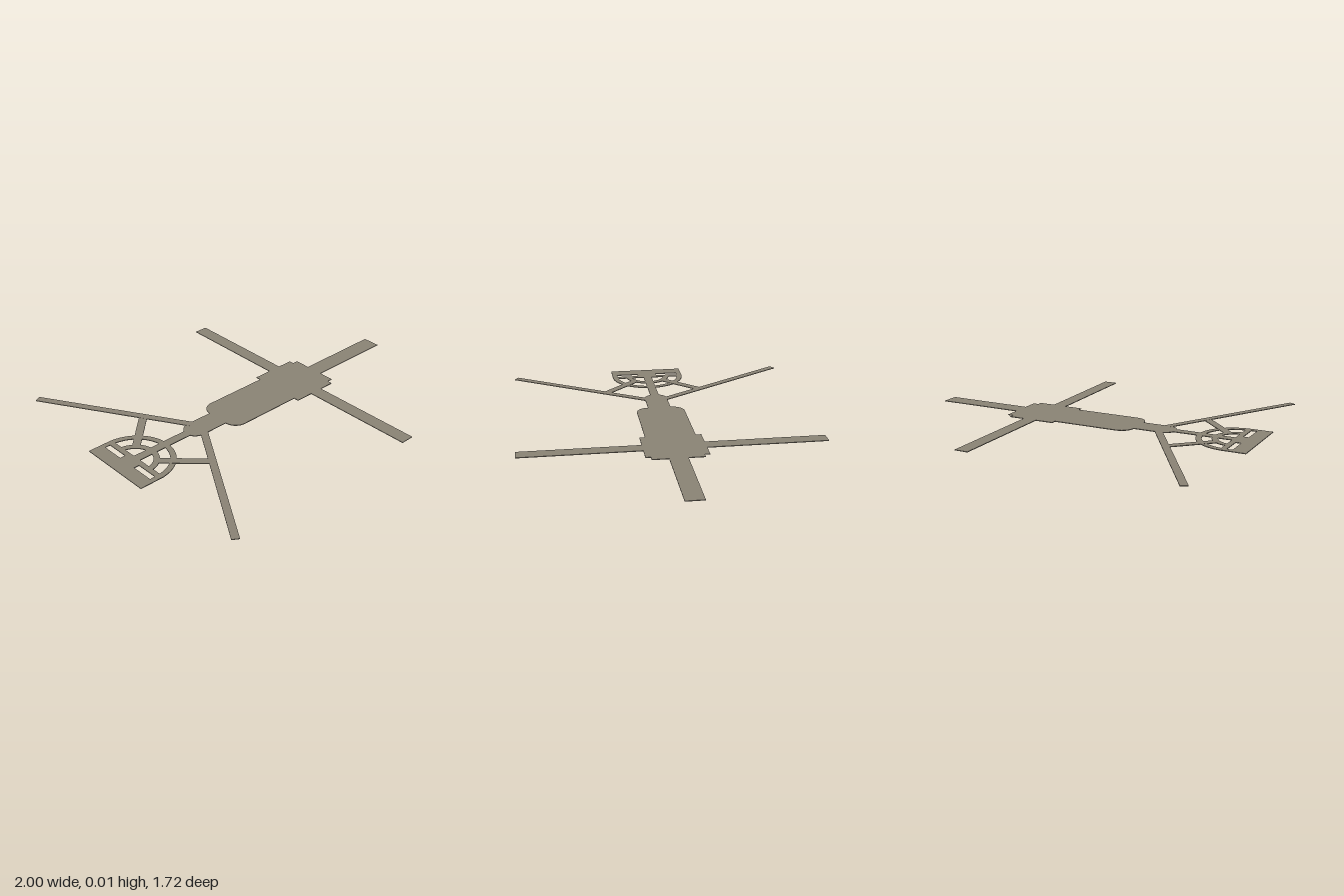
import * as THREE from 'three';

const THICK = 0.004;

export function createModel() {
  const model = new THREE.Group();
  const material = new THREE.MeshStandardMaterial({ color: 0x8a8375, flatShading: true });

  // Thin flat plate from an outline drawn in x and z, lying on height y
  function plate(name, shape, y = 0, parent = model) {
    const geo = new THREE.ExtrudeGeometry(shape, { depth: THICK, bevelEnabled: false, curveSegments: 20 });
    geo.rotateX(Math.PI / 2).translate(0, THICK + y, 0);
    const mesh = new THREE.Mesh(geo, material);
    mesh.name = name;
    parent.add(mesh);
    return mesh;
  }

  const rectPath = (x0, z0, x1, z1, Type = THREE.Shape) => new Type([
    [x0, z0], [x1, z0], [x1, z1], [x0, z1]].map(([x, z]) => new THREE.Vector2(x, z)));

  // Half ring opening towards -x
  function halfRing(cx, inner, outer) {
    const s = new THREE.Shape();
    s.absarc(cx, 0, outer, -Math.PI / 2, Math.PI / 2, false);
    s.absarc(cx, 0, inner, Math.PI / 2, -Math.PI / 2, true);
    return s;
  }

  // Straight bar between two points, rising from height y0 to y1
  function bar(name, [xa, za], [xb, zb], width, y0 = 0, y1 = 0) {
    const dx = xb - xa, dz = zb - za, len = Math.hypot(dx, dz);
    const geo = new THREE.BoxGeometry(len, THICK, width).translate(len / 2, THICK / 2, 0);
    const p = geo.attributes.position;
    for (let i = 0; i < p.count; i++) p.setY(i, p.getY(i) + y0 + (y1 - y0) * p.getX(i) / len);
    geo.rotateY(-Math.atan2(dz, dx)).translate(xa, 0, za);
    const mesh = new THREE.Mesh(geo, material);
    mesh.name = name;
    model.add(mesh);
  }

  // Stepped body with rounded shoulders and a round-nosed neck
  const body = new THREE.Shape();
  body.moveTo(0.483, -0.145);
  body.lineTo(0.483, 0.145);
  body.lineTo(0.45, 0.145);
  body.lineTo(0.45, 0.175);
  body.lineTo(0.17, 0.175);
  body.lineTo(0.17, 0.143);
  body.lineTo(-0.215, 0.143);
  body.absarc(-0.215, 0.068, 0.075, Math.PI / 2, Math.PI, false);
  body.lineTo(-0.45, 0.068);
  body.absarc(-0.45, 0, 0.068, Math.PI / 2, Math.PI * 1.5, false);
  body.lineTo(-0.29, -0.068);
  body.absarc(-0.215, -0.068, 0.075, Math.PI, Math.PI * 1.5, false);
  body.lineTo(0.17, -0.143);
  body.lineTo(0.17, -0.175);
  body.lineTo(0.45, -0.175);
  body.lineTo(0.45, -0.145);
  plate('body', body);

  // Long end strip and central rod
  plate('endStrip', rectPath(0.48, -0.052, 1, 0.052));
  plate('centralRod', rectPath(-0.87, -0.026, -0.5, 0.026));

  // Slotted slab closing the round head
  const slab = rectPath(-1, -0.225, -0.853, 0.225);
  for (const s of [-1, 1]) slab.holes.push(rectPath(-0.917, s * 0.06, -0.885, s * 0.194, THREE.Path));
  plate('headSlab', slab);

  // Concentric half rings of the head
  plate('outerRing', halfRing(-0.875, 0.192, 0.225));
  plate('innerRing', halfRing(-0.875, 0.104, 0.138));

  // Mirrored side parts: cross arms, slanted arms, spokes
  for (const s of [-1, 1]) {
    const side = s > 0 ? 'left' : 'right';
    plate(side + 'CrossArm', rectPath(0.278, s * 0.17, 0.358, s * 0.86));
    bar(side + 'SlantedArm', [-0.43, s * 0.045], [-0.92, s * 0.848], 0.042, 0, 0.008);
    bar(side + 'Spoke', [-0.79, s * 0.09], [-0.59, s * 0.288], 0.045, 0, 0.002);
  }
  return model;
}
